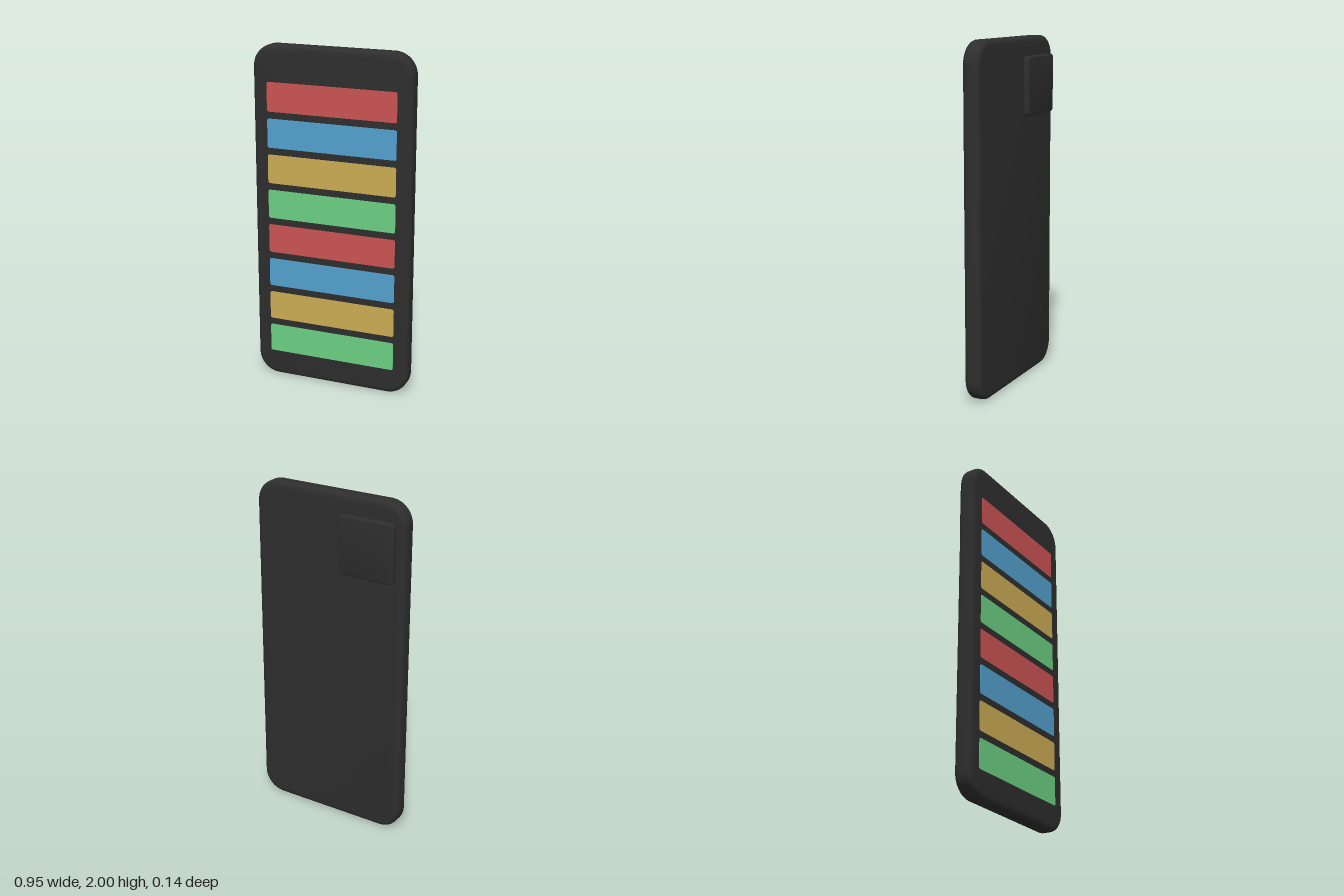
import * as THREE from 'three';
import { toCreasedNormals } from 'three/addons/utils/BufferGeometryUtils.js';

const paint = (name, color) => {
  const m = new THREE.MeshStandardMaterial({ color });
  m.name = name;
  return m;
};

// Rounded rectangle outline centred on the origin
function roundedRect(w, h, r) {
  const x = w / 2, y = h / 2, s = new THREE.Shape();
  s.absarc(x - r, y - r, r, 0, Math.PI / 2);
  s.absarc(-x + r, y - r, r, Math.PI / 2, Math.PI);
  s.absarc(-x + r, -y + r, r, Math.PI, Math.PI * 1.5);
  s.absarc(x - r, -y + r, r, Math.PI * 1.5, Math.PI * 2);
  s.closePath();
  return s;
}

// Slab with soft rims, spanning the given x, y and z ranges
function slab(name, material, [x0, x1], [y0, y1], [z0, z1], radius, bevel) {
  const geo = new THREE.ExtrudeGeometry(roundedRect(x1 - x0, y1 - y0, radius), {
    depth: z1 - z0 - 2 * bevel,
    bevelEnabled: bevel > 0,
    bevelSize: bevel,
    bevelThickness: bevel,
    bevelOffset: -bevel,
    bevelSegments: 5,
    curveSegments: 10,
  });
  geo.translate((x0 + x1) / 2, (y0 + y1) / 2, z0 + bevel);
  const mesh = new THREE.Mesh(toCreasedNormals(geo, 0.6), material);
  mesh.name = name;
  return mesh;
}

export function createModel() {
  const model = new THREE.Group();
  model.name = 'phone';
  const black = paint('black casing', 0x2e2e2e);
  const barColors = [
    paint('red', 0xcc5454),
    paint('blue', 0x54a1cf),
    paint('yellow', 0xccad54),
    paint('green', 0x6bcf83),
  ];

  // Casing and raised camera block on the back
  model.add(slab('casing', black, [-0.474, 0.474], [0, 2], [-0.037, 0.065], 0.13, 0.03));
  model.add(slab('cameraBlock', black, [-0.42, -0.078], [1.552, 1.892], [-0.069, -0.03], 0.022, 0.013));

  // Eight coloured bars on the screen, top to bottom
  for (let i = 0; i < 8; i++) {
    const top = 1.79 - i * 0.2095;
    model.add(slab('screenBar' + (i + 1), barColors[i % 4],
      [-0.387, 0.387], [top - 0.17, top], [0.062, 0.067], 0.012, 0));
  }
  return model;
}
